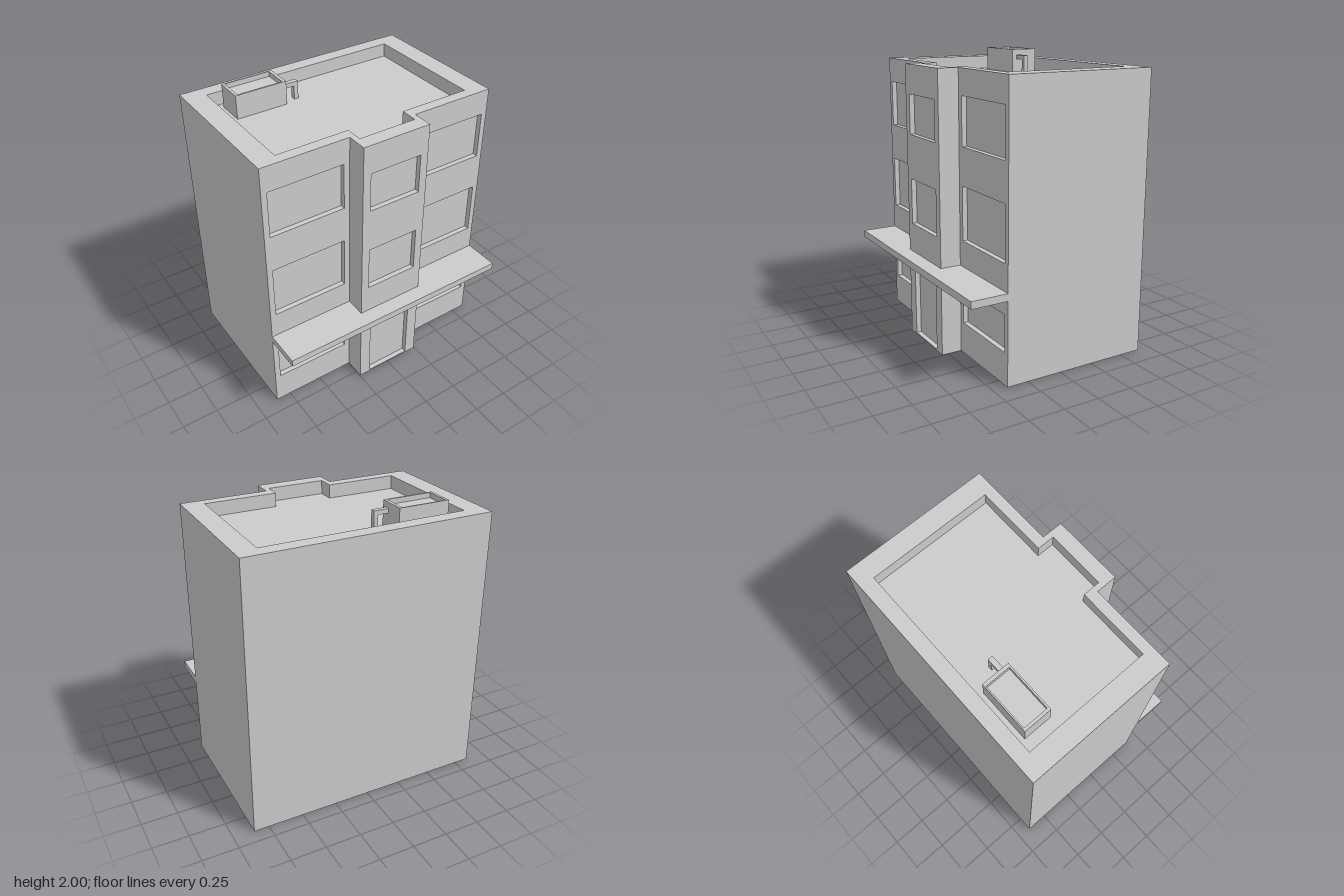
import * as THREE from 'three';

const material = new THREE.MeshStandardMaterial({ color: 0xcccccc, flatShading: true });
const TOP = 1.93, ROOF = 1.835, REVEAL = 0.035;

function add(parent, name, geometry, x = 0, y = 0, z = 0) {
  const mesh = new THREE.Mesh(geometry, material);
  mesh.name = name;
  mesh.position.set(x, y, z);
  parent.add(mesh);
}

// Box given by its limits on each axis
function addBox(parent, name, [x0, x1], [y0, y1], [z0, z1]) {
  add(parent, name, new THREE.BoxGeometry(x1 - x0, y1 - y0, z1 - z0),
    (x0 + x1) / 2, (y0 + y1) / 2, (z0 + z1) / 2);
}

// Plan outline with a projecting centre bay; shape y is -z
function plan(halfWidth, back, front, bayHalf, bayFront) {
  return [
    [-halfWidth, back], [-halfWidth, front], [-bayHalf, front], [-bayHalf, bayFront],
    [bayHalf, bayFront], [bayHalf, front], [halfWidth, front], [halfWidth, back],
  ].map(([x, z]) => new THREE.Vector2(x, -z));
}

function rect(x0, x1, y0, y1) {
  return [[x0, y0], [x1, y0], [x1, y1], [x0, y1]].map(([x, y]) => new THREE.Vector2(x, y));
}

function extrude(outline, holes, depth) {
  const shape = new THREE.Shape(outline);
  shape.holes = holes.map((h) => new THREE.Path(h));
  return new THREE.ExtrudeGeometry(shape, { depth, bevelEnabled: false });
}

export function createModel() {
  const model = new THREE.Group();
  model.name = 'building';

  // Solid core, whose front faces form the window panes
  add(model, 'core', extrude(plan(0.855, -0.655, 0.40 - REVEAL, 0.245, 0.545 - REVEAL), [], ROOF)
    .rotateX(-Math.PI / 2));

  // Parapet around the sunken roof
  add(model, 'parapet', extrude(plan(0.855, -0.655, 0.40, 0.245, 0.545),
    [plan(0.71, -0.555, 0.325, 0.205, 0.445)], TOP - ROOF).rotateX(-Math.PI / 2), 0, ROOF, 0);

  // Wing facades with three window openings each
  const floors = [[0.22, 0.47], [0.80, 1.17], [1.43, 1.755]];
  for (const side of [-1, 1]) {
    const span = (a, b) => (side > 0 ? [a, b] : [-b, -a]);
    add(model, side > 0 ? 'leftWingFacade' : 'rightWingFacade',
      extrude(rect(...span(0.245, 0.855), 0, ROOF),
        floors.map((f) => rect(...span(0.285, 0.815), ...f)), REVEAL),
      0, 0, 0.40 - REVEAL);
  }

  // Centre bay facade with doorway and two windows
  add(model, 'bayFacade', extrude(rect(-0.245, 0.245, 0, ROOF), [
    rect(-0.163, 0.163, 0.01, 0.49),
    rect(-0.188, 0.188, 0.825, 1.145),
    rect(-0.188, 0.188, 1.455, 1.73),
  ], REVEAL), 0, 0, 0.545 - REVEAL);

  // Canopy across the whole front
  addBox(model, 'canopy', [-0.855, 0.855], [0.57, 0.62], [0.38, 0.655]);

  // Rooftop unit: lower box with a raised rim
  const unit = new THREE.Group();
  unit.name = 'rooftopUnit';
  model.add(unit);
  const rimBase = 1.965;
  addBox(unit, 'unitBody', [-0.62, -0.255], [ROOF, rimBase], [-0.51, -0.315]);
  add(unit, 'unitRim', extrude(rect(-0.62, -0.255, 0.315, 0.51),
    [rect(-0.60, -0.278, 0.327, 0.50)], 2 - rimBase).rotateX(-Math.PI / 2), 0, rimBase, 0);

  // Bent duct from the unit down to the roof
  const duct = [[-0.255, 1.96], [-0.15, 1.96], [-0.15, ROOF], [-0.18, ROOF], [-0.18, 1.93], [-0.255, 1.93]];
  add(unit, 'duct', extrude(duct.map(([x, y]) => new THREE.Vector2(x, y)), [], 0.035), 0, 0, -0.382);

  return model;
}
